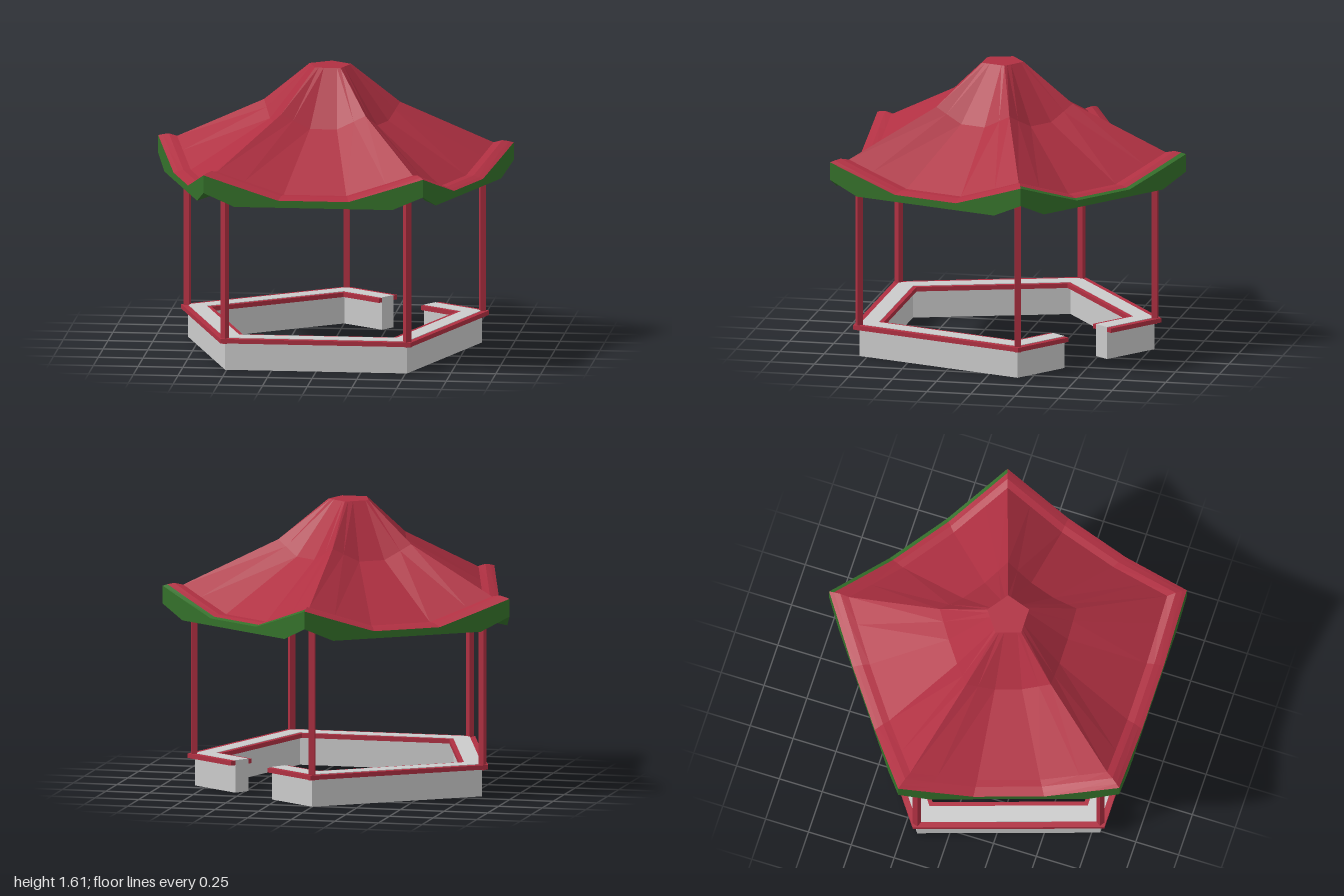
import * as THREE from 'three';

const CZ = 0.095; // centre of the pentagon along z
const RAD = Math.PI / 180;
const COS36 = Math.cos(36 * RAD);
const material = (color) => new THREE.MeshStandardMaterial({ color, flatShading: true });

// Corner k of a pentagon of radius r, as x and z
const corner = (r, k) => {
  const a = (36 + 72 * k) * RAD;
  return [r * Math.sin(a), CZ + r * Math.cos(a)];
};

// Five-sided band between two radii, left open in the middle of one edge
function openBand(rOut, rIn, y0, y1, mat, name) {
  const a = 144 * RAD, half = 0.158;
  const gapEnd = (r, s) => [
    r * COS36 * Math.sin(a) + s * half * Math.cos(a),
    CZ + r * COS36 * Math.cos(a) - s * half * Math.sin(a),
  ];
  const line = (r) => [gapEnd(r, 1), ...[2, 3, 4, 5, 6].map((k) => corner(r, k)), gapEnd(r, -1)];
  const points = [...line(rOut), ...line(rIn).reverse()];
  const shape = new THREE.Shape(points.map(([x, z]) => new THREE.Vector2(x, -z)));
  const geo = new THREE.ExtrudeGeometry(shape, { depth: y1 - y0, bevelEnabled: false });
  geo.rotateX(-Math.PI / 2).translate(0, y0, 0);
  const mesh = new THREE.Mesh(geo, mat);
  mesh.name = name;
  return mesh;
}

// Stations along each roof edge, with the upturn of the eaves' top and bottom lines
const T = [0, 0.14, 0.34, 0.66, 0.86, 1];
const TOP_LIFT = [1, 0.58, 0, 0, 0.58, 1];
const LOW_LIFT = [1, 0, 0, 0, 0, 1];
const ring = (r, yCorner, yMid, lift = TOP_LIFT) => ({ r, yCorner, yMid, lift });

function ringPoint({ r, yCorner, yMid, lift }, edge, i) {
  const [ax, az] = corner(r, edge), [bx, bz] = corner(r, edge + 1), t = T[i];
  return [ax + (bx - ax) * t, yMid + (yCorner - yMid) * lift[i], az + (bz - az) * t];
}

// Faces joining successive rings over the given edges
function loft(rings, edges, out = []) {
  for (let j = 0; j + 1 < rings.length; j++)
    for (const e of edges)
      for (let i = 0; i + 1 < T.length; i++) {
        const a = ringPoint(rings[j], e, i), b = ringPoint(rings[j], e, i + 1);
        const c = ringPoint(rings[j + 1], e, i + 1), d = ringPoint(rings[j + 1], e, i);
        if (rings[j].r > 0) out.push(...a, ...b, ...c);
        if (rings[j + 1].r > 0) out.push(...a, ...c, ...d);
      }
  return out;
}

function surface(positions, mat, name) {
  const geo = new THREE.BufferGeometry();
  geo.setAttribute('position', new THREE.Float32BufferAttribute(positions, 3));
  geo.computeVertexNormals();
  const mesh = new THREE.Mesh(geo, mat);
  mesh.name = name;
  return mesh;
}

export function createModel() {
  const model = new THREE.Group();
  model.name = 'pavilion';
  const red = material(0xb03042), green = material(0x34702a), grey = material(0xcccccc);

  // Low wall with a rail along its outer and inner sides
  model.add(openBand(0.865, 0.748, 0, 0.183, grey, 'lowWall'));
  model.add(openBand(0.905, 0.864, 0.155, 0.18, red, 'outerRail'));
  model.add(openBand(0.749, 0.718, 0.155, 0.18, red, 'innerRail'));

  // Slim square columns at the corners
  const columns = new THREE.Group();
  columns.name = 'columns';
  for (let k = 0; k < 5; k++) {
    const [x, z] = corner(0.868, k);
    const column = new THREE.Mesh(new THREE.BoxGeometry(0.033, 0.95, 0.033), red);
    column.position.set(x, 0.625, z);
    column.rotation.y = (36 + 72 * k) * RAD;
    column.name = 'column';
    columns.add(column);
  }
  model.add(columns);

  // Roof cover: raised rim, sagging slopes and flat cap
  const all = [0, 1, 2, 3, 4], openEdge = [1];
  const eave = ring(1.045, 1.125, 0.99);
  const rim = ring(1.018, 1.133, 0.998);
  const cover = loft([eave, rim], [0, 2, 3, 4]);
  loft([rim, ring(0.98, 1.14, 1.007), ring(0.93, 1.13, 1.007), ring(0.4, 1.38, 1.3),
    ring(0.122, 1.605, 1.605), ring(0, 1.605, 1.605)], all, cover);
  model.add(surface(cover, red, 'roofCover'));

  // Green underside and eaves board, with a bare strip above the entrance
  const under = loft([ring(0, 1.5, 1.5), ring(0.4, 1.32, 1.24), ring(0.93, 1.06, 0.965, LOW_LIFT),
    ring(1.045, 1.025, 0.95, LOW_LIFT), eave], all);
  loft([eave, rim], openEdge, under);
  model.add(surface(under, green, 'roofUnderside'));

  return model;
}
